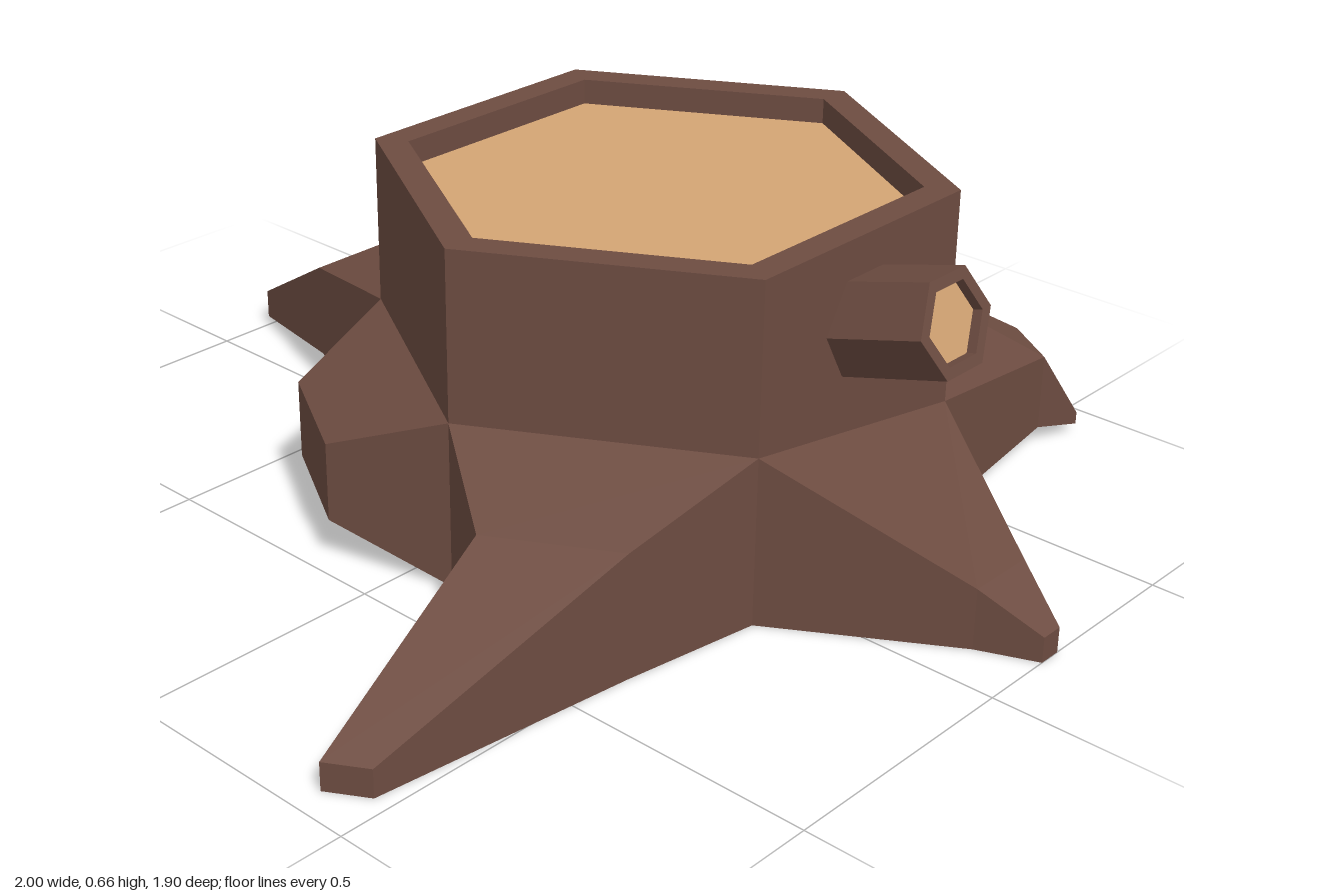
import * as THREE from 'three';

const BARK = 0x6d4c41, WOOD = 0xd4a574;
const CX = 0.095, CZ = -0.17, R = 0.545;

const mat = (color) => new THREE.MeshStandardMaterial({ color, flatShading: true });

function mesh(name, geometry, color) {
  const m = new THREE.Mesh(geometry, mat(color));
  m.name = name;
  return m;
}

// Hexagonal turned solid from [radius, y] pairs
function hexLathe(points) {
  return new THREE.LatheGeometry(points.map(([r, y]) => new THREE.Vector2(r, y)), 6);
}

// Corner of the hexagonal trunk, corner 0 pointing forward
function corner(i) {
  const a = (i * Math.PI) / 3;
  return [CX + R * Math.sin(a), CZ + R * Math.cos(a)];
}

// Tapering root: four-cornered rings joined outward and closed at the tip
function rootGeometry(rings) {
  const pos = [];
  const quad = (a, b, c, d) => pos.push(...a, ...b, ...c, ...a, ...c, ...d);
  for (let k = 0; k < rings.length - 1; k++) {
    for (let i = 0; i < 4; i++) {
      const j = (i + 1) % 4;
      quad(rings[k][i], rings[k][j], rings[k + 1][j], rings[k + 1][i]);
    }
  }
  quad(...rings[rings.length - 1]);
  const g = new THREE.BufferGeometry();
  g.setAttribute('position', new THREE.Float32BufferAttribute(pos, 3));
  g.computeVertexNormals();
  return g;
}

// Ring between two ground points, from y0 up to the tops at each side
const ring = (ax, az, bx, bz, y0, yA, yB = yA) =>
  [[ax, y0, az], [bx, y0, bz], [bx, yB, bz], [ax, yA, az]];

export function createModel() {
  const model = new THREE.Group();
  model.name = 'treeStump';

  // Trunk with a raised bark rim around the cut
  const trunk = mesh('trunk', hexLathe([[0, 0], [R, 0], [R, 0.66], [0.48, 0.66], [0.48, 0.61]]), BARK);
  const cut = mesh('cutSurface', hexLathe([[0.48, 0.61], [0, 0.61]]), WOOD);
  for (const m of [trunk, cut]) {
    m.position.set(CX, 0, CZ);
    model.add(m);
  }

  // One root per trunk side, in order of the corners
  const topY = [0.33, 0.33, 0.24, 0.33, 0.33, 0.33];
  const roots = [
    ['frontLeftRoot', [0.3, 0.51, 0.525, 0.38, 0, 0.245], [0.39, 0.945, 0.465, 0.9, 0, 0.055]],
    ['leftRoot', [0.89, -0.1, 0.89, -0.24, 0, 0.12], [1, -0.147, 1, -0.193, 0, 0.05]],
    ['backLeftRoot', [0.545, -0.81, 0.43, -0.885, 0.04, 0.195], [0.57, -0.91, 0.495, -0.955, 0.02, 0.045]],
    ['backRightRoot', [-0.235, -0.89, -0.37, -0.815, 0, 0.06]],
    ['rightRoot', [-0.69, -0.335, -0.69, -0.01, 0.07, 0.265], [-1, -0.23, -1, -0.12, 0.02, 0.08]],
    ['frontRightRoot', [-0.35, 0.34, -0.125, 0.47, 0.09, 0.245]],
  ];
  roots.forEach(([name, ...sections], i) => {
    const j = (i + 1) % 6;
    const base = ring(...corner(i), ...corner(j), 0, topY[i], topY[j]);
    model.add(mesh(name, rootGeometry([base, ...sections.map((s) => ring(...s))]), BARK));
  });

  // Sawn-off branch leaning up out of the left side
  const branch = new THREE.Group();
  branch.name = 'branch';
  branch.add(
    mesh('branchBark', hexLathe([[0, -0.3], [0.1, -0.3], [0.1, 0], [0.076, 0], [0.076, -0.02]]), BARK),
    mesh('branchCut', hexLathe([[0.076, -0.02], [0, -0.02]]), WOOD),
  );
  branch.position.set(0.76, 0.553, CZ);
  branch.rotation.z = -Math.PI / 2 + 0.29;
  model.add(branch);

  return model;
}
